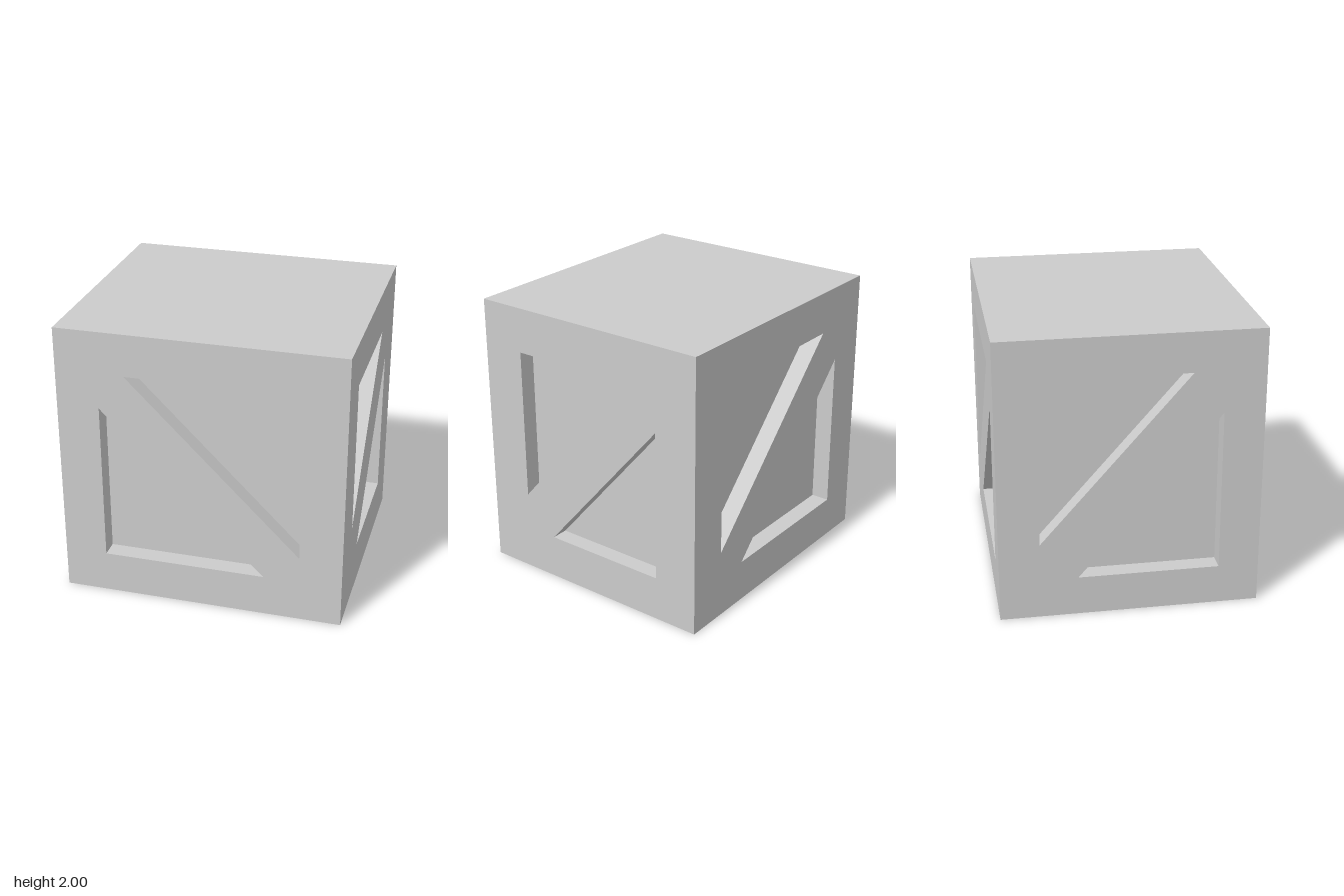
import * as THREE from 'three';
import { mergeGeometries } from 'three/addons/utils/BufferGeometryUtils.js';

const W = 2, H = 2, D = 1.8;

// Each side: width, distance from centre, turn about y, recess depth and two right
// triangles as [corner u, corner y, tip u, tip y], u running right as seen from outside.
const SIDES = [
  { name: 'frontPanel', width: W, out: D / 2, turn: 0, depth: 0.13,
    triangles: [[0.7, 1.7, -0.515, 0.49], [-0.7, 0.3, 0.45, 1.445]] },
  { name: 'backPanel', width: W, out: D / 2, turn: Math.PI, depth: 0.13,
    triangles: [[-0.7, 1.7, 0.515, 0.49], [0.7, 0.3, -0.45, 1.445]] },
  { name: 'rightViewPanel', width: D, out: W / 2, turn: Math.PI / 2, depth: 0.12,
    triangles: [[-0.58, 1.68, 0.36, 0.59], [0.58, 0.32, -0.345, 1.4]] },
  { name: 'leftViewPanel', width: D, out: W / 2, turn: -Math.PI / 2, depth: 0.13,
    triangles: [[-0.62, 1.72, 0.41, 0.55], [0.62, 0.28, -0.36, 1.43]] },
];

// Corner points of a right triangle, counter-clockwise
function trianglePoints([u, y, tipU, tipY]) {
  const points = [new THREE.Vector2(u, y), new THREE.Vector2(tipU, y), new THREE.Vector2(u, tipY)];
  return THREE.ShapeUtils.isClockWise(points) ? points.reverse() : points;
}

// Inward-facing walls of a recess
function recessWalls(points, depth) {
  const pos = [];
  points.forEach((a, i) => {
    const b = points[(i + 1) % points.length];
    pos.push(a.x, a.y, 0, b.x, b.y, 0, b.x, b.y, -depth);
    pos.push(a.x, a.y, 0, b.x, b.y, -depth, a.x, a.y, -depth);
  });
  const geometry = new THREE.BufferGeometry();
  geometry.setAttribute('position', new THREE.Float32BufferAttribute(pos, 3));
  geometry.computeVertexNormals();
  return geometry;
}

// Flat shape without uv, ready for merging
function flat(shape, z = 0) {
  const geometry = new THREE.ShapeGeometry(shape).toNonIndexed();
  geometry.deleteAttribute('uv');
  return geometry.translate(0, 0, z);
}

// One side of the block: pierced face, recess walls and recess floors
function sideGeometry({ width, depth, triangles }) {
  const w = width / 2;
  const face = new THREE.Shape([[-w, 0], [w, 0], [w, H], [-w, H]].map(p => new THREE.Vector2(...p)));
  const parts = [];
  for (const triangle of triangles) {
    const points = trianglePoints(triangle);
    face.holes.push(new THREE.Path(points));
    parts.push(recessWalls(points, depth), flat(new THREE.Shape(points), -depth));
  }
  parts.push(flat(face));
  return mergeGeometries(parts);
}

export function createModel() {
  const group = new THREE.Group();
  group.name = 'crate';
  const material = new THREE.MeshStandardMaterial({ color: 0xcccccc });

  // Four sides with a diagonal brace between two recesses
  for (const side of SIDES) {
    const geometry = sideGeometry(side).translate(0, 0, side.out).rotateY(side.turn);
    const mesh = new THREE.Mesh(geometry, material);
    mesh.name = side.name;
    group.add(mesh);
  }

  // Plain lid and base
  for (const [name, y, tilt] of [['lid', H, -Math.PI / 2], ['base', 0, Math.PI / 2]]) {
    const mesh = new THREE.Mesh(new THREE.PlaneGeometry(W, D).rotateX(tilt).translate(0, y, 0), material);
    mesh.name = name;
    group.add(mesh);
  }
  return group;
}
